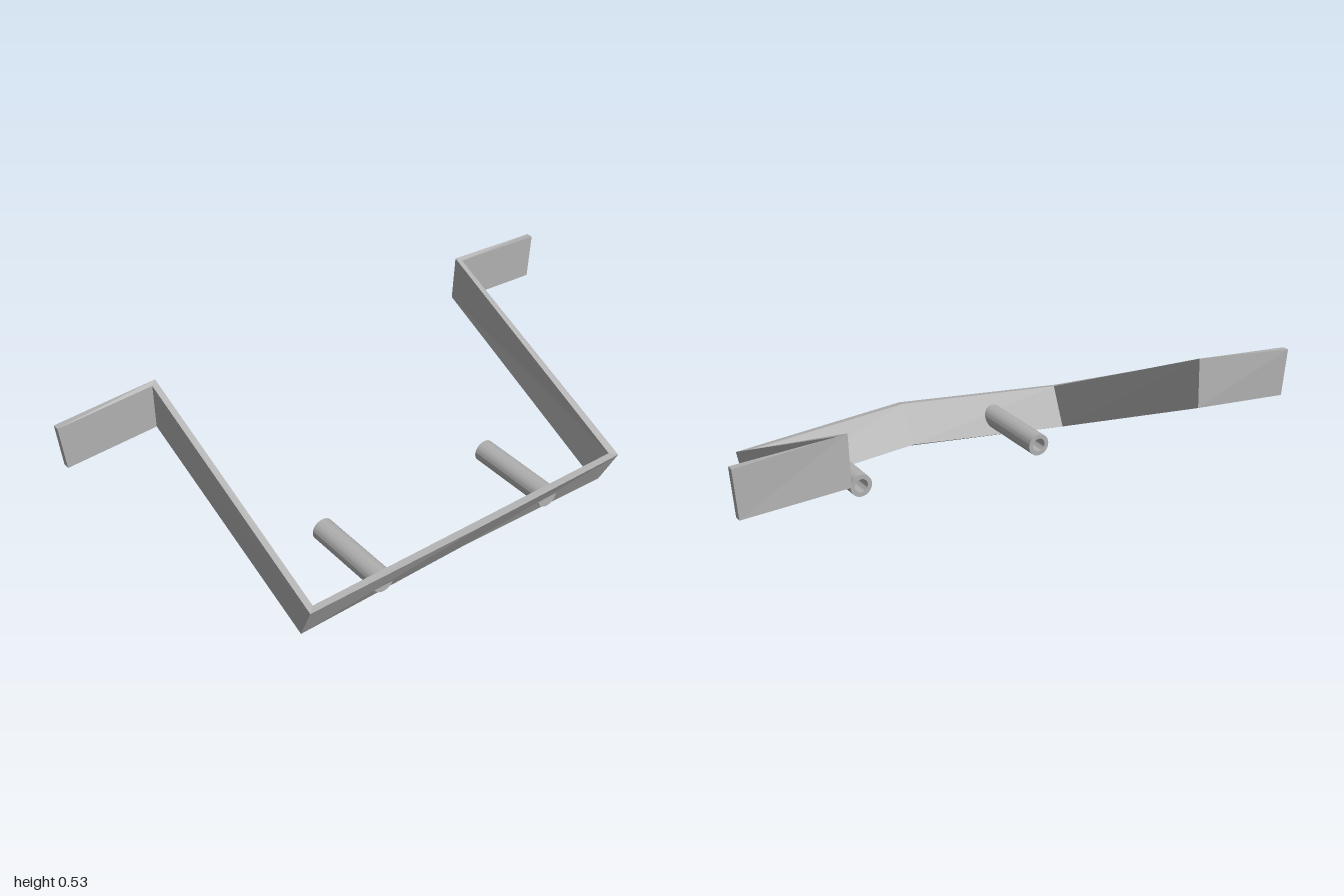
import * as THREE from 'three';
import { toCreasedNormals } from 'three/addons/utils/BufferGeometryUtils.js';

// Cross-sections list four corners: outer top, inner top, inner bottom, outer bottom
const CENTRE = [[0, 0.184, 0.463], [0, 0.187, 0.435], [0, 0.057, 0.355], [0, 0.045, 0.3775]];
const FRONT_CORNER = [[0.652, 0.143, 0.422], [0.627, 0.148, 0.4], [0.62, 0.012, 0.323], [0.642, 0, 0.35]];
const BACK_CORNER = [[0.655, 0.519, -0.436], [0.635, 0.529, -0.45], [0.632, 0.36, -0.462], [0.655, 0.356, -0.436]];
const TAB_END = [[1, 0.5, -0.438], [1, 0.5, -0.462], [0.985, 0.338, -0.462], [0.985, 0.338, -0.438]];

const mirror = (section) => section.map(([x, y, z]) => [-x, y, z]);

// Joins consecutive four-corner sections into a closed, flat-faced bar
function loft(sections) {
  const pos = [];
  const quad = (a, b, c, d) => pos.push(...a, ...b, ...c, ...a, ...c, ...d);
  for (let s = 0; s < sections.length - 1; s++) {
    const a = sections[s], b = sections[s + 1];
    for (let i = 0; i < 4; i++) {
      const j = (i + 1) % 4;
      quad(a[i], b[i], b[j], a[j]);
    }
  }
  quad(...sections[0]);
  quad(...[...sections[sections.length - 1]].reverse());
  const geo = new THREE.BufferGeometry();
  geo.setAttribute('position', new THREE.Float32BufferAttribute(pos, 3));
  geo.computeVertexNormals();
  return geo;
}

export function createModel() {
  const group = new THREE.Group();
  const steel = new THREE.MeshStandardMaterial({ color: 0xb0b0b0 });
  steel.name = 'grey steel';

  const add = (name, geometry) => {
    const mesh = new THREE.Mesh(geometry, steel);
    mesh.name = name;
    group.add(mesh);
    return mesh;
  };

  // Leaning front plate with a shallow bend in the middle
  add('frontPlate', loft([mirror(FRONT_CORNER), CENTRE, FRONT_CORNER]));

  // Rising side arms and outward mounting tabs
  add('leftArm', loft([FRONT_CORNER, BACK_CORNER]));
  add('rightArm', loft([mirror(BACK_CORNER), mirror(FRONT_CORNER)]));
  add('leftTab', loft([BACK_CORNER, TAB_END]));
  add('rightTab', loft([mirror(TAB_END), mirror(BACK_CORNER)]));

  // Hollow tubes passing through the plate, open at the back
  const profile = [
    [0, 0.385], [0.024, 0.385], [0.024, 0.065], [0.04, 0.065], [0.04, 0.395], [0, 0.395],
  ].map(([r, z]) => new THREE.Vector2(r, z));
  const tube = toCreasedNormals(new THREE.LatheGeometry(profile, 40), 0.6);
  tube.rotateX(Math.PI / 2);
  for (const side of [1, -1]) {
    add(side > 0 ? 'leftTube' : 'rightTube', tube).position.set(side * 0.35, 0.09, 0);
  }

  return group;
}
